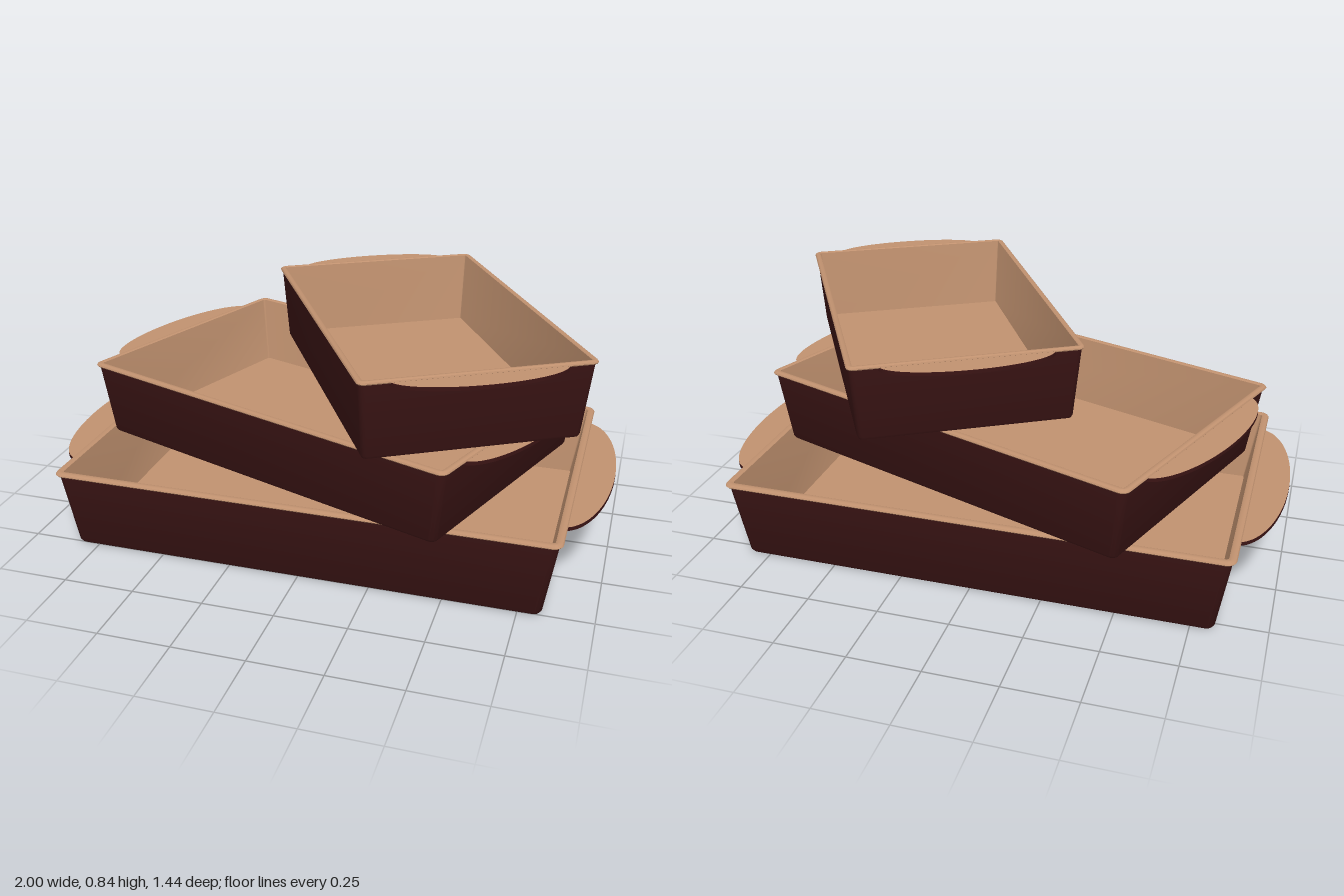
import * as THREE from 'three';
import { toCreasedNormals } from 'three/addons/utils/BufferGeometryUtils.js';

const glaze = new THREE.MeshStandardMaterial({ color: 0x3a1414 });
const clay = new THREE.MeshStandardMaterial({ color: 0xc0916f });

// Points of a rounded rectangle with half sizes hx, hz and corner radius r
function roundedRect(hx, hz, r, y) {
  const pts = [], steps = 5;
  const corners = [[1, 1], [-1, 1], [-1, -1], [1, -1]];
  corners.forEach(([sx, sz], q) => {
    for (let i = 0; i <= steps; i++) {
      const a = (q + i / steps) * Math.PI / 2;
      pts.push([sx * (hx - r) + r * Math.cos(a), y, sz * (hz - r) + r * Math.sin(a)]);
    }
  });
  return pts;
}

// Skin through a list of rounded rectangles [hx, hz, r, y]
function loft(sections) {
  const rings = sections.map(s => roundedRect(...s));
  const n = rings[0].length, index = [];
  for (let i = 0; i < rings.length - 1; i++) {
    for (let j = 0; j < n; j++) {
      const a = i * n + j, b = i * n + (j + 1) % n;
      index.push(a, a + n, b, b, a + n, b + n);
    }
  }
  const g = new THREE.BufferGeometry();
  g.setAttribute('position', new THREE.Float32BufferAttribute(rings.flat(2), 3));
  g.setIndex(index);
  g.computeVertexNormals();
  return toCreasedNormals(g, 0.6);
}

function part(name, geometry, material) {
  const mesh = new THREE.Mesh(geometry, material);
  mesh.name = name;
  return mesh;
}

// Half-ellipse tab lying in the xz plane, reaching out to x = 1
function createHandle() {
  const shape = new THREE.Shape();
  shape.absellipse(0.86, 0, 0.14, 0.42, -Math.PI / 2, Math.PI / 2, false);
  const handle = new THREE.Group();
  handle.name = 'handle';
  const slab = new THREE.ExtrudeGeometry(shape, { depth: 0.012, bevelEnabled: false, curveSegments: 32 });
  slab.rotateX(-Math.PI / 2).translate(0, 0.265, 0);
  const top = new THREE.ShapeGeometry(shape, 32);
  top.rotateX(-Math.PI / 2).translate(0, 0.2785, 0);
  handle.add(part('handleUnderside', slab, glaze), part('handleTop', top, clay));
  return handle;
}

function createTray() {
  const tray = new THREE.Group();
  // Dark outside, from the middle of the base up to the lip
  tray.add(part('outerShell', loft([
    [0, 0, 0, 0],
    [0.81, 0.512, 0.015, 0],
    [0.822, 0.524, 0.022, 0.004],
    [0.829, 0.531, 0.027, 0.014],
    [0.87, 0.557, 0.03, 0.274],
  ]), glaze));
  // Rounded lip, inner walls and floor
  tray.add(part('rimAndInterior', loft([
    [0.87, 0.557, 0.03, 0.274],
    [0.879, 0.564, 0.032, 0.275],
    [0.882, 0.567, 0.033, 0.279],
    [0.879, 0.564, 0.032, 0.284],
    [0.872, 0.557, 0.028, 0.287],
    [0.861, 0.544, 0.014, 0.287],
    [0.856, 0.538, 0.01, 0.284],
    [0.812, 0.509, 0.008, 0.02],
    [0, 0, 0, 0.02],
  ]), clay));
  // Handles on both short ends
  for (const turn of [0, Math.PI]) {
    const handle = createHandle();
    handle.rotation.y = turn;
    tray.add(handle);
  }
  return tray;
}

export function createModel() {
  const model = new THREE.Group();
  model.name = 'stackedTrays';
  // Position, plan scale, height scale and turn of each tray
  const stack = [
    { name: 'largeTray', pos: [0, 0, -0.017], scale: [1, 1, 1], turn: 0 },
    { name: 'mediumTray', pos: [-0.012, 0.293, -0.012], scale: [0.855, 0.945, 0.855], turn: -20 },
    { name: 'smallTray', pos: [0.3, 0.567, 0.02], scale: [0.684, 0.945, 0.672], turn: -60 },
  ];
  for (const { name, pos, scale, turn } of stack) {
    const tray = createTray();
    tray.name = name;
    tray.position.set(...pos);
    tray.scale.set(...scale);
    tray.rotation.y = THREE.MathUtils.degToRad(turn);
    model.add(tray);
  }
  return model;
}
